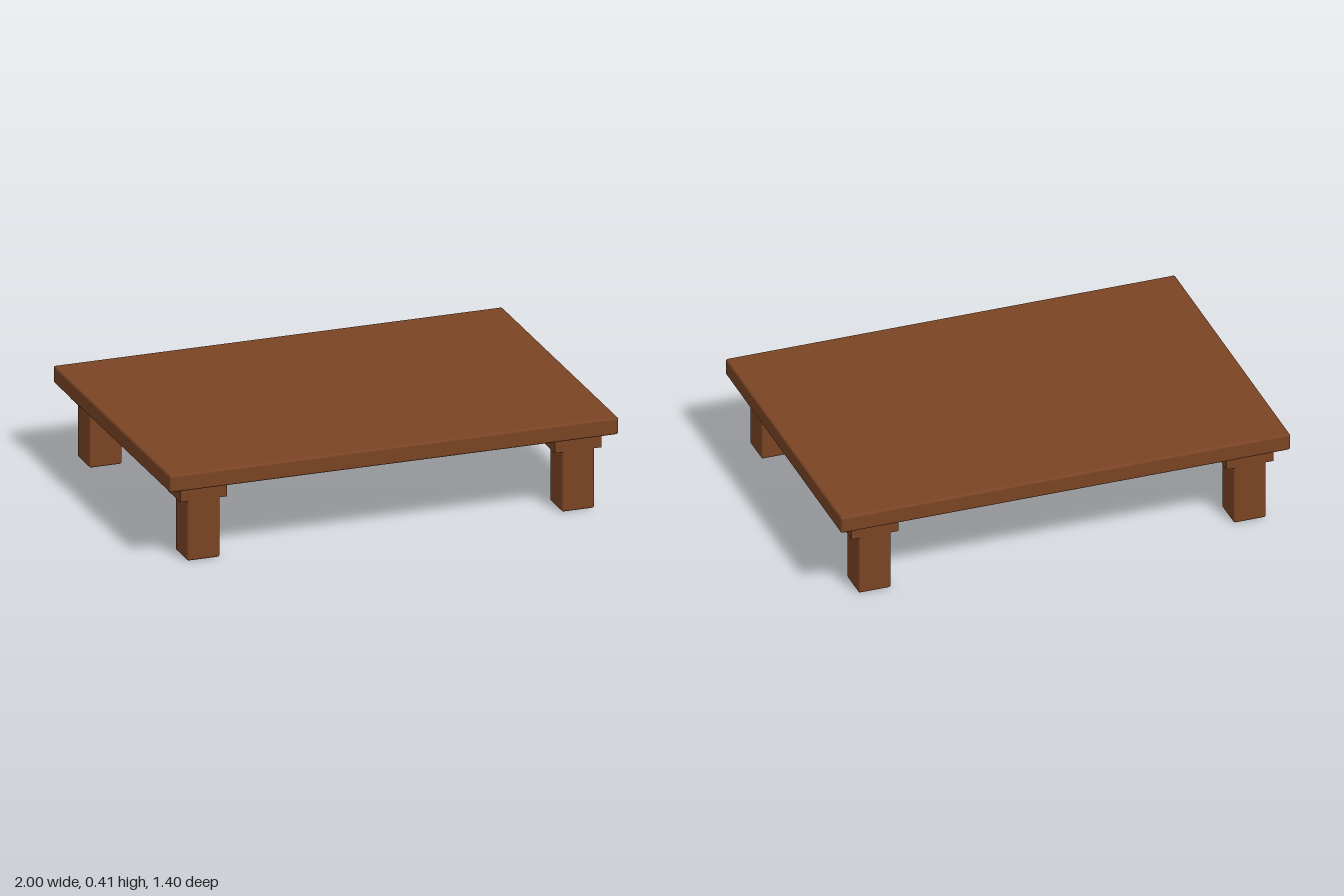
import * as THREE from 'three';
import { RoundedBoxGeometry } from 'three/addons/geometries/RoundedBoxGeometry.js';

export function createModel() {
  const model = new THREE.Group();
  model.name = 'lowTable';
  const wood = new THREE.MeshStandardMaterial({ color: 0x7a4424 });
  wood.name = 'brown wood';

  function add(parent, name, geometry, x, y, z) {
    const mesh = new THREE.Mesh(geometry, wood);
    mesh.name = name;
    mesh.position.set(x, y, z);
    parent.add(mesh);
  }

  // Slab with softened edges
  add(model, 'tableTop', new RoundedBoxGeometry(2, 0.076, 1.4, 3, 0.01), 0, 0.368, 0);

  // Four legs, each with a wider block under the slab
  const legGeometry = new RoundedBoxGeometry(0.145, 0.345, 0.147, 3, 0.01);
  const blockGeometry = new THREE.BoxGeometry(0.208, 0.07, 0.145);
  for (const sx of [-1, 1]) {
    for (const sz of [-1, 1]) {
      const leg = new THREE.Group();
      leg.name = (sz > 0 ? 'front' : 'back') + (sx > 0 ? 'Left' : 'Right') + 'Leg';
      leg.position.set(sx * 0.834, 0, sz * 0.587);
      add(leg, 'legPost', legGeometry, 0, 0.1725, 0);
      add(leg, 'legBlock', blockGeometry, 0, 0.302, 0);
      model.add(leg);
    }
  }
  return model;
}
